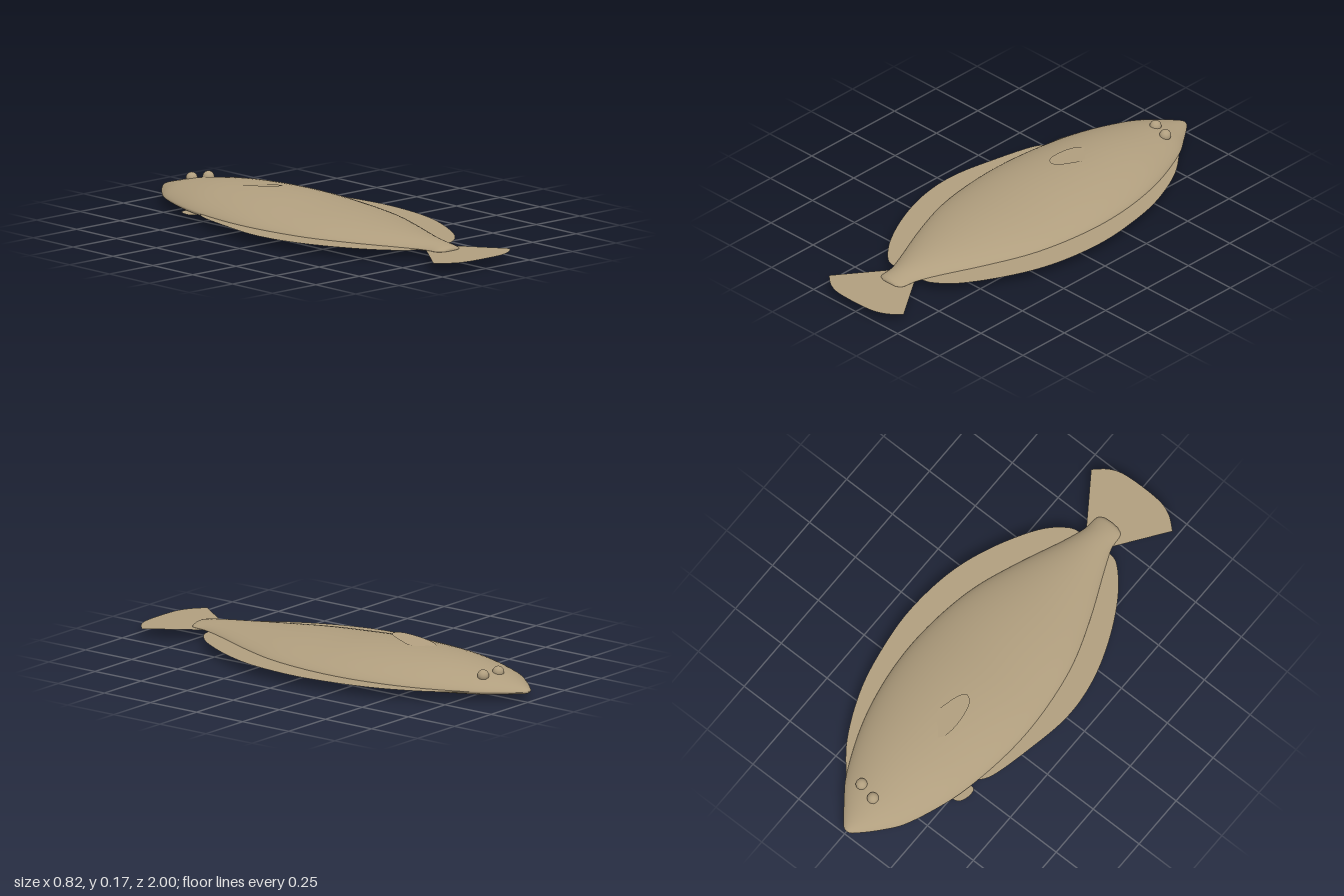
import * as THREE from 'three';

const RIM = 0.045; // height of the body's edge and of the flat fins

const skin = new THREE.MeshStandardMaterial({ color: 0xb09e7e, side: THREE.DoubleSide });
skin.name = 'sandy skin';

// Body stations from snout to tail: z, left edge, right edge, top, bottom
const STATIONS = [
  [-1.0, -0.012, -0.008, 0.046, 0.044],
  [-0.985, -0.04, 0.018, 0.058, 0.034],
  [-0.9, -0.122, 0.084, 0.083, 0.023],
  [-0.8, -0.192, 0.152, 0.107, 0.015],
  [-0.6, -0.268, 0.237, 0.135, 0.006],
  [-0.4, -0.308, 0.287, 0.144, 0.001],
  [-0.2, -0.325, 0.307, 0.141, 0.0],
  [0.0, -0.315, 0.297, 0.129, 0.004],
  [0.2, -0.28, 0.26, 0.117, 0.011],
  [0.4, -0.21, 0.187, 0.102, 0.019],
  [0.6, -0.122, 0.1, 0.086, 0.029],
  [0.7, -0.082, 0.065, 0.077, 0.034],
  [0.77, -0.073, 0.055, 0.065, 0.038],
  [0.79, -0.045, 0.03, 0.055, 0.042],
];

function createBody() {
  const curve = (a, b) => new THREE.CatmullRomCurve3(
    STATIONS.map((s) => new THREE.Vector3(s[a], s[b], s[0])), false, 'catmullrom', 0.5);
  const left = curve(1, 3);
  const right = curve(2, 4);
  const rings = 78, sides = 56;
  const pos = [], index = [];
  for (let i = 0; i <= rings; i++) {
    const l = left.getPoint(i / rings), r = right.getPoint(i / rings);
    const cx = (l.x + r.x) / 2, w = (r.x - l.x) / 2;
    for (let j = 0; j < sides; j++) {
      const a = (j / sides) * Math.PI * 2, s = Math.sin(a);
      // domed upper side, shallower elliptical blind side
      const y = s > 0 ? RIM + (l.y - RIM) * Math.pow(s, 1.45) : RIM + (RIM - r.y) * s;
      pos.push(cx + w * Math.cos(a), y, l.z);
      if (i < rings) {
        const k = (j + 1) % sides, p = i * sides, q = p + sides;
        index.push(p + j, p + k, q + j, p + k, q + k, q + j);
      }
    }
  }
  // close both ends
  for (const [ring, z] of [[0, -1], [rings, 0.793]]) {
    const c = pos.length / 3, p = ring * sides;
    pos.push(-0.009, RIM + 0.002, z);
    for (let j = 0; j < sides; j++) {
      const k = (j + 1) % sides;
      if (ring) index.push(c, p + j, p + k);
      else index.push(c, p + k, p + j);
    }
  }
  const g = new THREE.BufferGeometry();
  g.setAttribute('position', new THREE.Float32BufferAttribute(pos, 3));
  g.setIndex(index);
  g.computeVertexNormals();
  return g;
}

// Flat horizontal fin: a smooth outer edge through [x, z] points, closed by straight inner points
function finGeometry(edge, inner = []) {
  const shape = new THREE.Shape();
  shape.moveTo(edge[0][0], -edge[0][1]);
  shape.splineThru(edge.slice(1).map(([x, z]) => new THREE.Vector2(x, -z)));
  inner.forEach(([x, z]) => shape.lineTo(x, -z));
  shape.closePath();
  return new THREE.ShapeGeometry(shape, 40).rotateX(-Math.PI / 2);
}

export function createModel() {
  const model = new THREE.Group();
  model.name = 'flatfish';
  const add = (name, geometry, x = 0, y = 0, z = 0) => {
    const mesh = new THREE.Mesh(geometry, skin);
    mesh.name = name;
    mesh.position.set(x, y, z);
    model.add(mesh);
    return mesh;
  };

  add('body', createBody());

  // Long fringe fins along both edges
  add('leftFringeFin', finGeometry(
    [[0.09, -0.87], [0.24, -0.69], [0.345, -0.465], [0.395, -0.24], [0.41, -0.04], [0.385, 0.185],
      [0.32, 0.38], [0.215, 0.57], [0.12, 0.66], [0.05, 0.675]],
    [[0.04, 0.6], [0.15, 0.3], [0.2, 0], [0.2, -0.4], [0.08, -0.8]]), 0, RIM, 0);
  add('rightFringeFin', finGeometry(
    [[-0.27, -0.49], [-0.33, -0.42], [-0.378, -0.23], [-0.413, -0.01], [-0.395, 0.185],
      [-0.33, 0.38], [-0.235, 0.555], [-0.135, 0.665], [-0.06, 0.678]],
    [[-0.05, 0.6], [-0.15, 0.3], [-0.2, 0], [-0.2, -0.4]]), 0, RIM, 0);

  // Fan-shaped tail
  add('tailFin', finGeometry(
    [[-0.233, 0.925], [-0.17, 0.975], [-0.09, 0.998], [0.07, 0.998], [0.15, 0.975], [0.211, 0.925]],
    [[0.07, 0.72], [0.03, 0.66], [-0.05, 0.66], [-0.085, 0.72]]), 0, RIM - 0.001, 0);

  // Small side fin lying on the upper face, its tip raised
  const upper = add('upperSideFin', finGeometry(
    [[-0.025, 0], [-0.045, 0.03], [-0.053, 0.1], [-0.04, 0.19], [-0.005, 0.222], [0.025, 0.19],
      [0.053, 0.1]], [[0.03, 0.02], [0, -0.01]]), -0.043, 0.139, -0.452);
  upper.rotation.set(-0.125, 0, -0.06);

  // Matching fin on the blind side, peeking past the edge
  add('lowerSideFin', finGeometry(
    [[-0.2, -0.6], [-0.265, -0.6], [-0.298, -0.583], [-0.312, -0.54], [-0.305, -0.507], [-0.27, -0.5]],
    [[-0.2, -0.52]]), 0, 0.034, 0);

  // Both eyes sit on the upper face
  for (const [name, x, y, z] of [['rightEye', -0.015, 0.103, -0.828], ['leftEye', 0.063, 0.1, -0.808]]) {
    add(name, new THREE.SphereGeometry(0.025, 24, 16), x, y, z);
  }
  return model;
}
